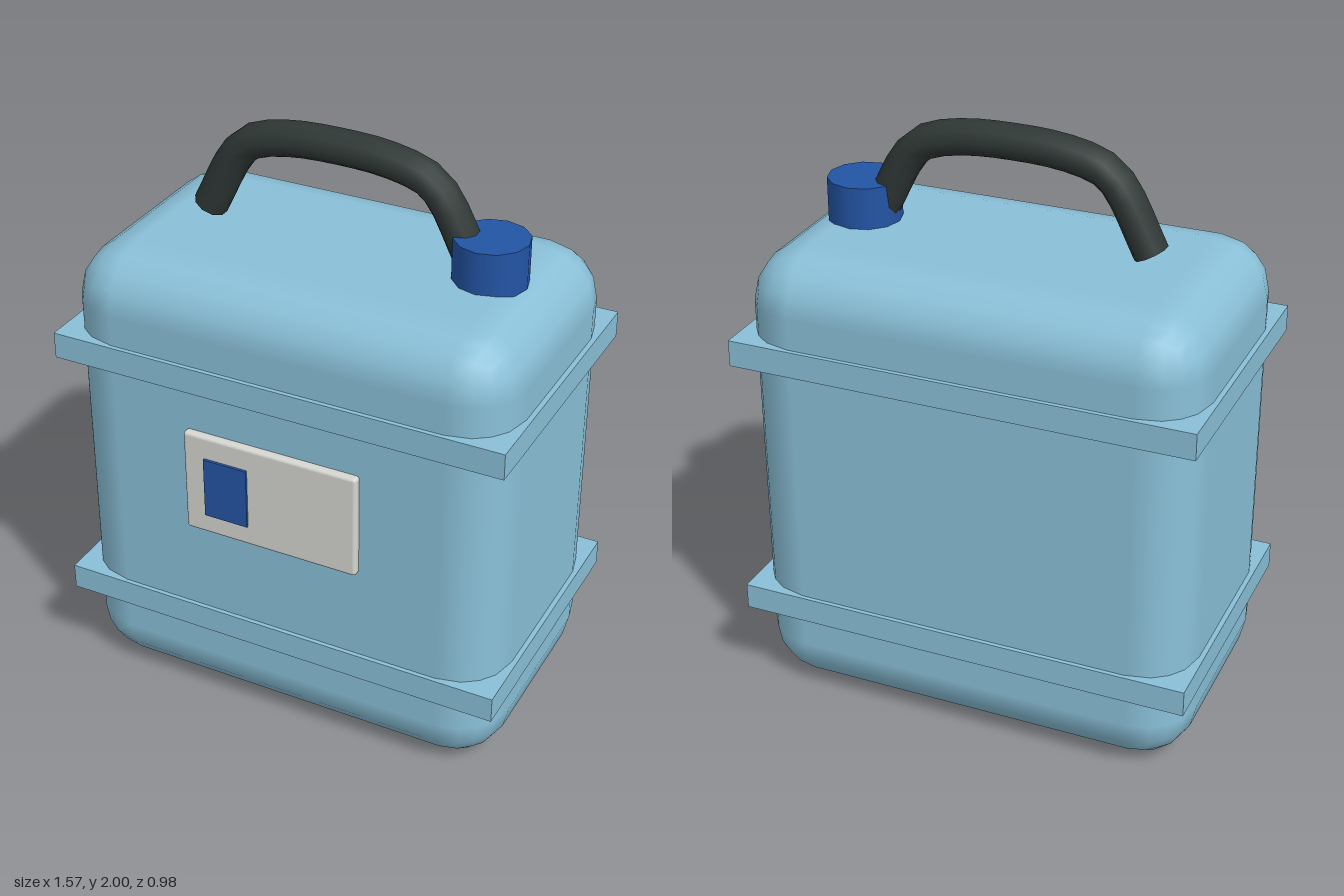
import * as THREE from 'three';
import { RoundedBoxGeometry } from 'three/addons/geometries/RoundedBoxGeometry.js';

function material(name, color) {
  const m = new THREE.MeshStandardMaterial({ color });
  m.name = name;
  return m;
}

export function createModel() {
  const model = new THREE.Group();
  model.name = 'canister';
  const lightBlue = material('light blue', 0x8ac0d8);
  const darkBlue = material('dark blue', 0x2355a5);
  const paleGrey = material('pale grey', 0xd6d6d2);
  const charcoal = material('charcoal', 0x2f3836);
  const midZ = -0.01;

  function add(name, geometry, mat, x, y, z) {
    const mesh = new THREE.Mesh(geometry, mat);
    mesh.name = name;
    mesh.position.set(x, y, z);
    model.add(mesh);
    return mesh;
  }

  // Rounded tank
  add('body', new RoundedBoxGeometry(1.54, 1.61, 0.925, 2, 0.19), lightBlue, 0, 0.805, midZ);

  // Square-cornered bands around the tank
  for (const [name, y] of [['lowerBand', 0.343], ['upperBand', 1.273]]) {
    add(name, new THREE.BoxGeometry(1.574, 0.09, 0.955), lightBlue, 0, y, midZ);
  }

  // Front label with a coloured patch
  add('label', new RoundedBoxGeometry(0.617, 0.37, 0.036, 2, 0.012), paleGrey, -0.002, 0.901, 0.461);
  add('labelPatch', new THREE.BoxGeometry(0.155, 0.215, 0.009), darkBlue, -0.156, 0.898, 0.483);

  // Screw cap
  add('cap', new THREE.CylinderGeometry(0.122, 0.122, 0.15, 12), darkBlue, 0.523, 1.675, midZ);

  // Carrying handle: a bent tube with closed ends
  const half = [[-0.465, 1.645], [-0.36, 1.845], [-0.305, 1.897], [-0.178, 1.932]];
  const mirrored = half.map(([x, y]) => [-x, y]).reverse();
  const path = new THREE.CatmullRomCurve3(
    [...half, [0, 1.942], ...mirrored].map(([x, y]) => new THREE.Vector3(x, y, 0)));
  const radius = 0.058;
  add('handle', new THREE.TubeGeometry(path, 20, radius, 10), charcoal, 0, 0, midZ);
  for (const [name, t, sign] of [['handleEndRight', 0, -1], ['handleEndLeft', 1, 1]]) {
    const p = path.getPointAt(t);
    const end = add(name, new THREE.CircleGeometry(radius, 10), charcoal, p.x, p.y, midZ);
    const outward = path.getTangentAt(t).multiplyScalar(sign);
    end.quaternion.setFromUnitVectors(new THREE.Vector3(0, 0, 1), outward);
  }

  return model;
}
